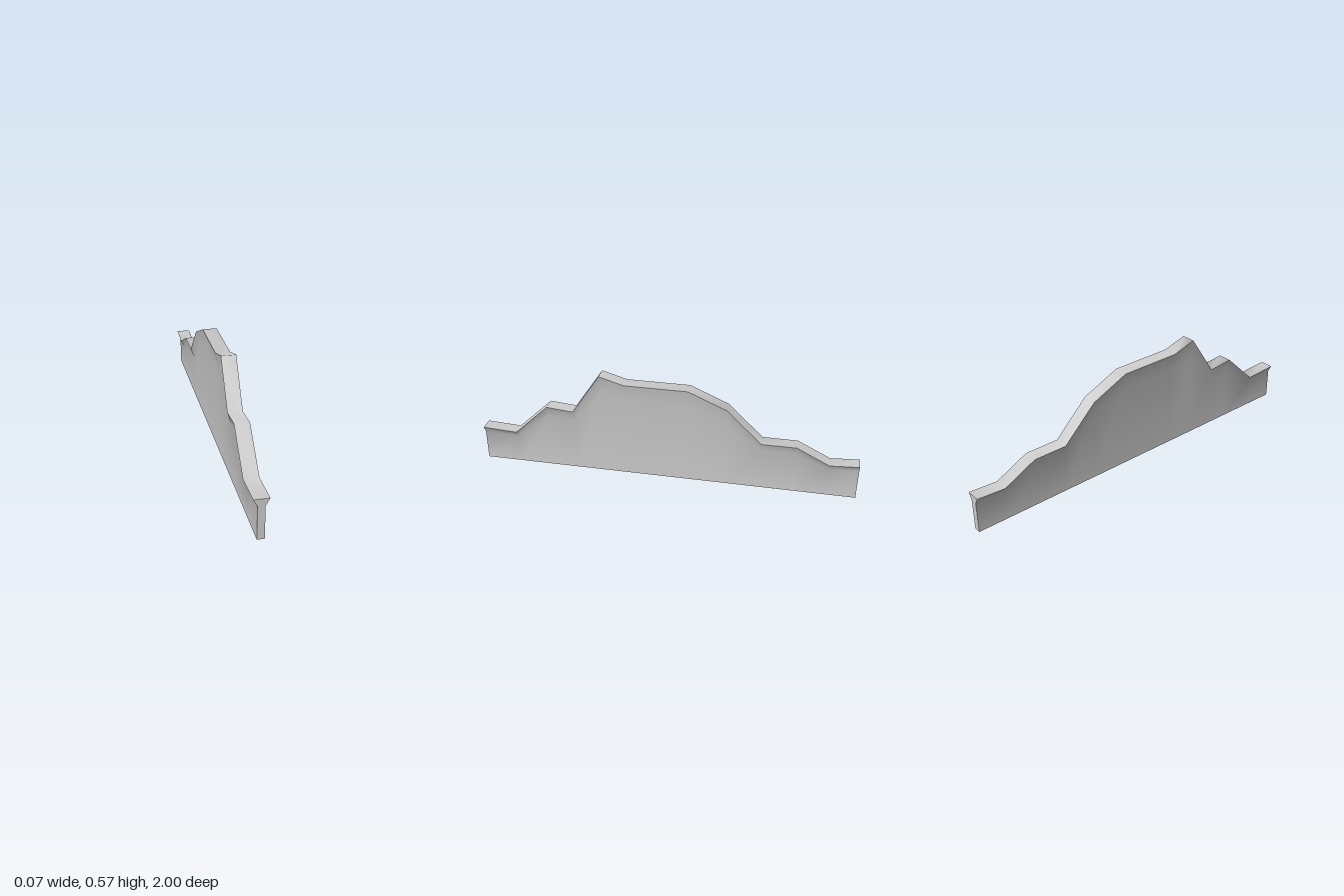
import * as THREE from 'three';
import { toCreasedNormals } from 'three/addons/utils/BufferGeometryUtils.js';

// Skyline of the wall, front to back: [z, height]
const SKYLINE = [
  [1, 0.2], [0.815, 0.19], [0.63, 0.365], [0.49, 0.352], [0.34, 0.575], [0.21, 0.537],
  [-0.12, 0.537], [-0.32, 0.45], [-0.5, 0.275], [-0.68, 0.275], [-0.85, 0.19], [-1, 0.2],
];
const BASE = 0.0175; // half thickness of the wall
const TOP = 0.037; // half thickness of the flared coping
const FLARE = 0.825; // share of the height where the flare starts

// Cross-section, counter-clockwise seen from the front
const section = (h) => [
  [-BASE, 0], [BASE, 0], [BASE, h * FLARE], [TOP, h], [-TOP, h], [-BASE, h * FLARE],
];

function wallGeometry() {
  const positions = [];
  const index = [];
  const quad = (a, b, c, d) => index.push(a, b, c, a, c, d);

  for (const [z, h] of SKYLINE) for (const [x, y] of section(h)) positions.push(x, y, z);

  // Skin between neighbouring cross-sections
  const last = (SKYLINE.length - 1) * 6;
  for (let ring = 0; ring < last; ring += 6) {
    for (let i = 0; i < 6; i++) {
      const a = ring + i;
      const b = ring + ((i + 1) % 6);
      quad(a, a + 6, b + 6, b);
    }
  }

  // End faces: stem and flared head
  quad(0, 1, 2, 5);
  quad(5, 2, 3, 4);
  quad(last + 5, last + 2, last + 1, last);
  quad(last + 4, last + 3, last + 2, last + 5);

  const geometry = new THREE.BufferGeometry();
  geometry.setAttribute('position', new THREE.Float32BufferAttribute(positions, 3));
  geometry.setIndex(index);
  return toCreasedNormals(geometry, THREE.MathUtils.degToRad(75));
}

export function createModel() {
  const group = new THREE.Group();
  group.name = 'steppedWall';
  const wall = new THREE.Mesh(wallGeometry(), new THREE.MeshStandardMaterial({ color: 0xcccccc }));
  wall.name = 'flaredWall';
  group.add(wall);
  return group;
}
